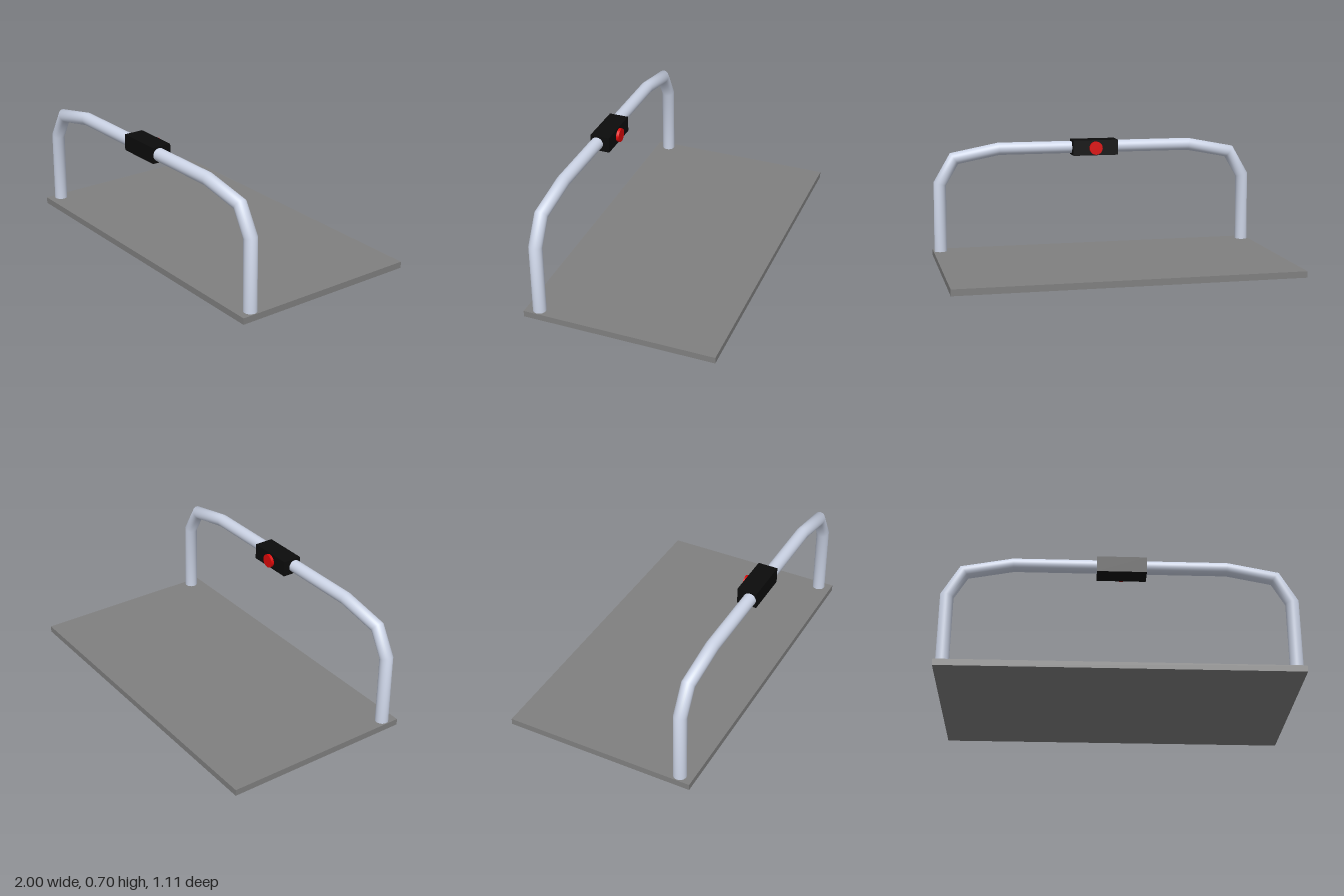
import * as THREE from 'three';

const material = (color) => new THREE.MeshStandardMaterial({ color });

function add(group, name, geometry, color, x, y, z) {
  const mesh = new THREE.Mesh(geometry, material(color));
  mesh.name = name;
  mesh.position.set(x, y, z);
  group.add(mesh);
  return mesh;
}

// Round tube along a polyline in the xy plane, mitred at every bend
function mitredTube(points, radius, sides) {
  const geometry = new THREE.CylinderGeometry(1, 1, 1, sides, points.length - 1, true);
  const position = geometry.attributes.position;
  const normal = geometry.attributes.normal;
  const sideOf = (a, b) => {
    const d = b.clone().sub(a).normalize();
    return new THREE.Vector2(-d.y, d.x);
  };
  points.forEach((p, row) => {
    const before = sideOf(points[Math.max(row - 1, 0)], points[Math.max(row, 1)]);
    const last = points.length - 1;
    const after = sideOf(points[Math.min(row, last - 1)], points[Math.min(row + 1, last)]);
    const mitre = before.clone().add(after).normalize();
    const stretch = radius / mitre.dot(before);
    for (let i = 0; i <= sides; i++) {
      const k = row * (sides + 1) + i;
      const across = position.getX(k), depth = position.getZ(k);
      position.setXYZ(k, p.x + mitre.x * across * stretch, p.y + mitre.y * across * stretch, depth * radius);
      normal.setXYZ(k, mitre.x * across, mitre.y * across, depth);
    }
  });
  return geometry;
}

export function createModel() {
  const model = new THREE.Group();
  model.name = 'handlebarPlatform';

  // Flat platform
  add(model, 'platform', new THREE.BoxGeometry(2, 0.037, 1.114), 0x808080, 0, 0.0185, 0);

  // Bent handrail: one half of the path, mirrored
  const half = [[0.957, 0.02], [0.953, 0.45], [0.865, 0.6], [0.595, 0.652]];
  const path = [
    ...half.map(([x, y]) => new THREE.Vector2(-x, y)),
    ...half.slice().reverse().map(([x, y]) => new THREE.Vector2(x, y)),
  ];
  // Path is walked right to left so the faces point outward
  path.reverse();
  const rail = mitredTube(path, 0.0375, 32);
  add(model, 'handrail', rail, 0xccd4e6, 0, 0, 0.48);

  // Control box with its button on the back
  add(model, 'controlBox', new THREE.BoxGeometry(0.277, 0.093, 0.115), 0x0c0c0c, 0.008, 0.6515, 0.4625);
  const button = new THREE.CylinderGeometry(0.04, 0.04, 0.025, 32).rotateX(Math.PI / 2);
  add(model, 'button', button, 0xdd0808, 0.008, 0.65, 0.4005);

  return model;
}
